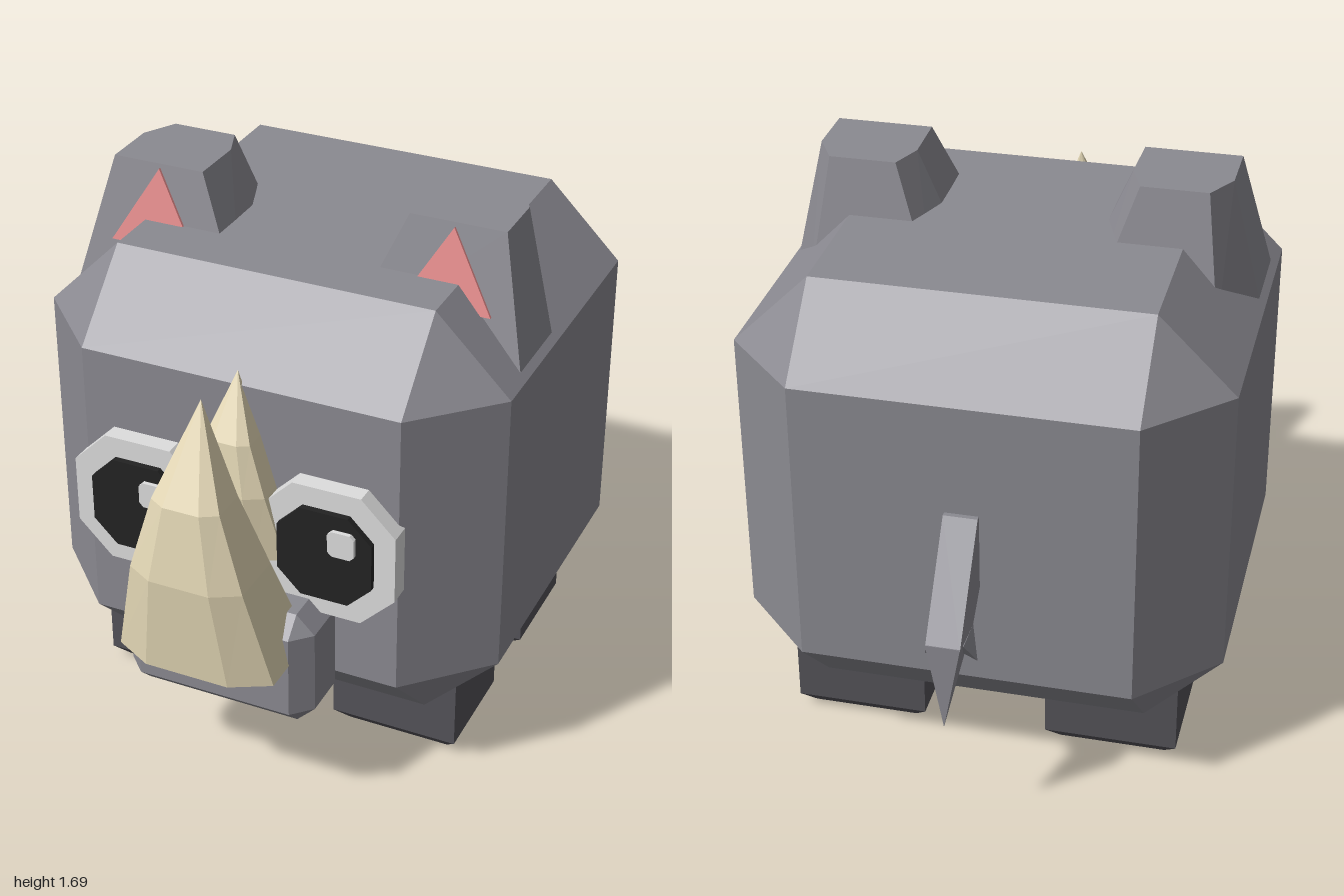
import * as THREE from 'three';
import { ConvexGeometry } from 'three/addons/geometries/ConvexGeometry.js';

const mat = (name, color, extra = {}) => {
  const m = new THREE.MeshStandardMaterial({ color, ...extra });
  m.name = name;
  return m;
};

export function createModel() {
  const model = new THREE.Group();
  model.name = 'rhino';
  const skin = mat('grey skin', 0x8b8a91);
  const dark = mat('dark grey legs', 0x545359);
  const ivory = mat('ivory horn', 0xe4d8b6);
  const white = mat('eye white', 0xdedede);
  const black = mat('pupil black', 0x232323);
  const pink = mat('inner ear pink', 0xe28a8a);

  const add = (name, geometry, material) => {
    const mesh = new THREE.Mesh(geometry, material);
    mesh.name = name;
    model.add(mesh);
    return mesh;
  };
  const hull = (points) => new ConvexGeometry(points.map((p) => new THREE.Vector3(...p)));

  // Box with all edges and corners cut off by c
  const chamferBox = (min, max, c) => {
    const points = [];
    for (let i = 0; i < 8; i++) {
      for (let axis = 0; axis < 3; axis++) {
        points.push([0, 1, 2].map((k) => {
          const inset = k === axis ? 0 : c;
          return (i >> k) & 1 ? max[k] - inset : min[k] + inset;
        }));
      }
    }
    return hull(points);
  };

  // Flat plate with cut corners, facing +z
  const plate = (x, y, half, flat, z0, z1) => {
    const h = half, f = flat;
    const outline = [[f, h], [h, f], [h, -f], [f, -h], [-f, -h], [-h, -f], [-h, f], [-f, h]];
    return hull([z0, z1].flatMap((z) => outline.map(([a, b]) => [x + a, y + b, z])));
  };

  // Body and snout
  add('body', chamferBox([-0.725, 0.165, -0.77], [0.725, 1.525, 0.62], 0.23), skin);
  add('snout', chamferBox([-0.3, 0.295, 0.56], [0.3, 0.672, 0.815], 0.057), skin);

  // Curved horn: octagonal sections [y, half width, back z, front z] closing to a tip
  const hornGeometry = () => {
    const levels = [[0.53, 0.245, 0.62, 0.975], [0.845, 0.175, 0.735, 1.0], [1.08, 0.105, 0.803, 0.97]];
    const rings = levels.map(([y, a, back, front]) => {
      const n = a * 0.53, d = (front - back) * 0.17;
      return [[n, front], [a, front - d], [a, back + d], [n, back],
        [-n, back], [-a, back + d], [-a, front - d], [-n, front]].map(([x, z]) => [x, y, z]);
    });
    const tip = [0, 1.36, 0.83], base = [0, 0.53, 0.8];
    const pos = [];
    const tri = (a, b, c) => pos.push(...a, ...b, ...c);
    for (let i = 0; i < 8; i++) {
      const j = (i + 1) % 8;
      for (let l = 0; l < 2; l++) {
        tri(rings[l][i], rings[l][j], rings[l + 1][j]);
        tri(rings[l][i], rings[l + 1][j], rings[l + 1][i]);
      }
      tri(rings[2][i], rings[2][j], tip);
      tri(rings[0][j], rings[0][i], base);
    }
    const g = new THREE.BufferGeometry();
    g.setAttribute('position', new THREE.Float32BufferAttribute(pos, 3));
    g.computeVertexNormals();
    return g;
  };
  add('frontHorn', hornGeometry(), ivory);
  const s = 0.67;
  const small = hornGeometry().scale(s, s, s).translate(0, 0.78 - s * 0.53, 0.725 - s);
  add('backHorn', small, ivory);

  for (const side of [1, -1]) {
    const name = side > 0 ? 'left' : 'right';

    // Eye: white disc, pupil, highlight (same side on both eyes)
    const ex = side * 0.298;
    add(name + 'EyeWhite', plate(ex, 0.845, 0.21, 0.105, 0.6, 0.674), white);
    add(name + 'Pupil', plate(ex, 0.845, 0.146, 0.073, 0.67, 0.693), black);
    add(name + 'EyeHighlight', plate(ex + 0.057, 0.905, 0.041, 0.028, 0.69, 0.706), white);

    // Ear: tapered six-sided block
    const top = [[0.325, 0.175], [0.322, 0], [0.36, -0.1], [0.56, -0.1], [0.615, 0], [0.615, 0.175]];
    const bottom = [[0.16, 0.27], [0.16, 0.01], [0.23, -0.185], [0.61, -0.185], [0.707, 0.01], [0.707, 0.27]];
    add(name + 'Ear', hull([
      ...top.map(([x, z]) => [side * x, 1.69, z]),
      ...bottom.map(([x, z]) => [side * x, 1.305, z]),
    ]), skin);

    // Pink triangle laid on the sloped ear front
    const earTri = [[0.463, 1.678], [0.6, 1.45], [0.326, 1.45]];
    const slope = (y) => 0.175 + (1.69 - y) * 0.247;
    add(name + 'InnerEar', hull([0, 0.008].flatMap((d) =>
      earTri.map(([x, y]) => [side * x, y, slope(y) + d]))), pink);

    // Legs with bevelled feet
    for (const [end, z0, z1] of [['Front', 0.05, 0.39], ['Back', -0.538, -0.19]]) {
      const layer = (y, c) => [[0.19 + c, z0 + c], [0.595 - c, z0 + c], [0.595 - c, z1 - c], [0.19 + c, z1 - c]]
        .map(([x, z]) => [side * x, y, z]);
      add(name + end + 'Leg', hull([...layer(0.265, 0), ...layer(0.045, 0), ...layer(0, 0.04)]), dark);
    }
  }

  // Tail strip with a pointed tuft and two small side jags
  const strip = [[0.955, -0.7], [0.955, -0.785], [0.655, -0.998], [0.645, -0.85], [0.735, -0.765], [0.78, -0.7]];
  add('tail', hull([-0.05, 0.05].flatMap((x) => strip.map(([y, z]) => [x, y, z]))), skin);
  add('tailTuft', hull([
    [-0.05, 0.66, -0.998], [0.05, 0.66, -0.998], [-0.05, 0.645, -0.86], [0.05, 0.645, -0.86],
    [0, 0.385, -1.0],
  ]), skin);
  for (const side of [1, -1]) {
    add('tailJag', hull([
      [0, 0.645, -0.85], [0, 0.645, -0.96], [side * 0.05, 0.645, -0.85], [side * 0.05, 0.645, -0.96],
      [side * 0.077, 0.565, -0.91],
    ]), skin);
  }
  return model;
}
